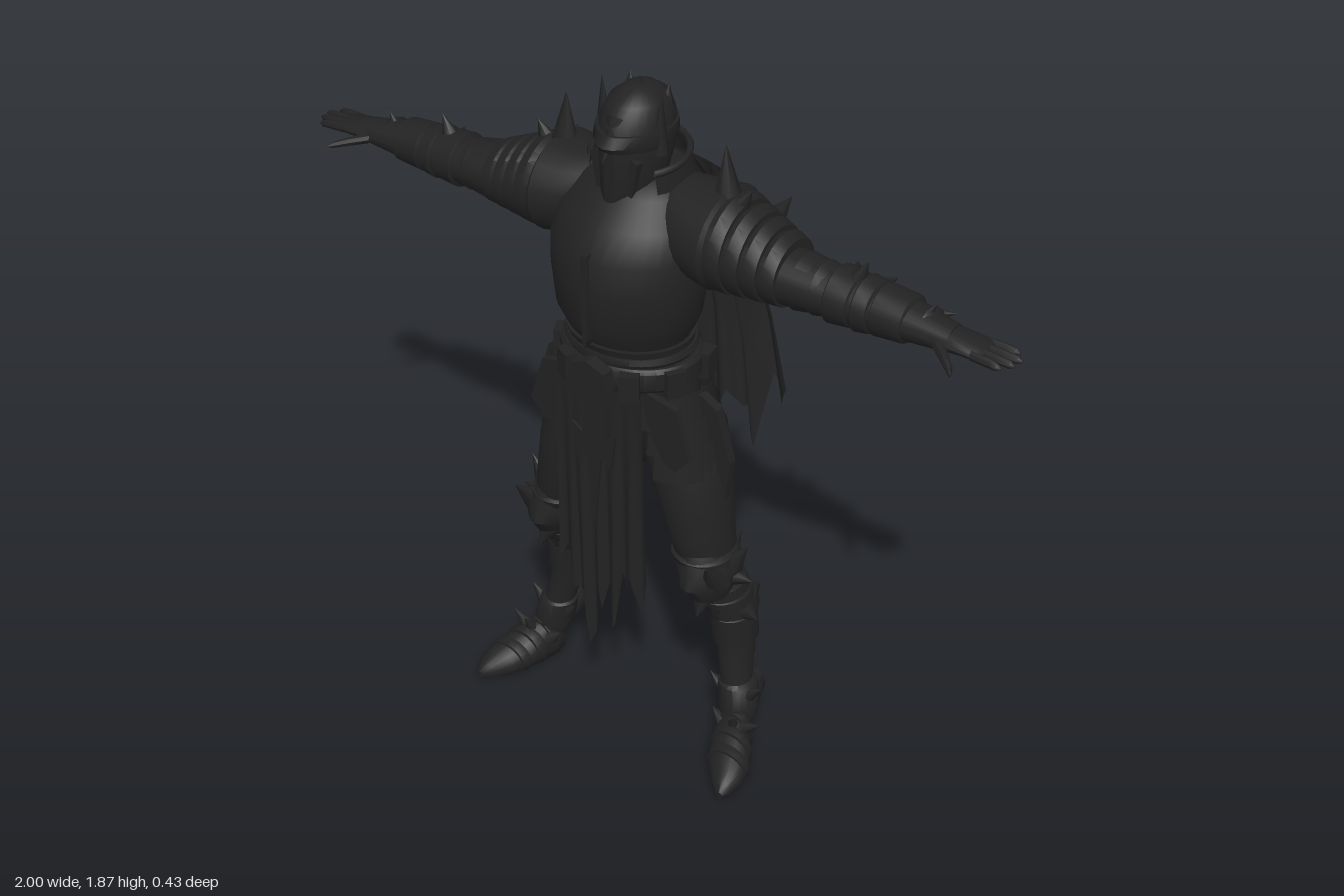
import * as THREE from 'three';
import { toCreasedNormals } from 'three/addons/utils/BufferGeometryUtils.js';

const steel = new THREE.MeshStandardMaterial({ color: 0x222222 });
steel.name = 'blackened steel';
steel.side = THREE.DoubleSide;

// Ellipse cross-sections along an axis. Rows ascend: [t, centreA, centreB, radiusA, radiusB, frontRidge]
// y axis: A = x, B = z.  x axis: A = y, B = z.  z axis: A = x, B = y.
function loft(axis, rows, n = 20) {
  const pos = [], idx = [];
  const put = (t, a, b) => {
    if (axis === 'y') pos.push(a, t, b);
    else if (axis === 'x') pos.push(t, a, b);
    else pos.push(a, Math.max(0, b), t);
  };
  for (const [t, a, b, ra, rb, ridge = 0] of rows) {
    for (let j = 0; j < n; j++) {
      const q = (j / n) * Math.PI * 2, c = Math.cos(q), s = Math.sin(q);
      if (axis === 'y') put(t, a + ra * c, b + rb * s + ridge * Math.max(0, s) ** 8);
      else put(t, a + ra * s, b + rb * c);
    }
  }
  const m = rows.length;
  for (let i = 0; i < m - 1; i++) for (let j = 0; j < n; j++) {
    const p = i * n + j, q = i * n + (j + 1) % n;
    idx.push(p, p + n, q, q, p + n, q + n);
  }
  put(...rows[0]);
  put(...rows[m - 1]);
  for (let j = 0; j < n; j++) {
    const k = (j + 1) % n, e = (m - 1) * n;
    idx.push(m * n, j, k, m * n + 1, e + k, e + j);
  }
  const g = new THREE.BufferGeometry();
  g.setAttribute('position', new THREE.Float32BufferAttribute(pos, 3));
  g.setIndex(idx);
  return toCreasedNormals(g, 0.7);
}

// Pointed spur from a base point to a tip
function spike(base, tip, r) {
  const a = new THREE.Vector3(...base), d = new THREE.Vector3(...tip).sub(a), len = d.length();
  const g = new THREE.ConeGeometry(r, len, 8).translate(0, len / 2, 0);
  g.applyQuaternion(new THREE.Quaternion().setFromUnitVectors(new THREE.Vector3(0, 1, 0), d.normalize()));
  return g.translate(...base);
}

// Hanging cloth with a torn hem; hem heights run evenly from left to right
function cloth(x0, top, width, hem, depth, cols = 60) {
  const g = new THREE.PlaneGeometry(2, 1, cols, 14), p = g.attributes.position;
  for (let i = 0; i < p.count; i++) {
    const u = p.getX(i), v = 0.5 - p.getY(i);
    const f = (u + 1) / 2 * (hem.length - 1), k = Math.min(hem.length - 2, Math.floor(f));
    const low = hem[k] + (hem[k + 1] - hem[k]) * (f - k);
    p.setXYZ(i, x0 + u * width(v), top + (low - top) * v, depth(u, v));
  }
  g.computeVertexNormals();
  return g;
}

// Flat plate cut from an outline
function plate(points, z, depth = 0.02) {
  const s = new THREE.Shape(points.map(([x, y]) => new THREE.Vector2(x, y)));
  return new THREE.ExtrudeGeometry(s, { depth, bevelEnabled: false }).translate(0, 0, z);
}

function mirror(g) {
  const m = g.index ? g.toNonIndexed() : g.clone();
  m.scale(-1, 1, 1);
  const idx = [];
  for (let i = 0; i < m.attributes.position.count; i += 3) idx.push(i + 2, i + 1, i);
  m.setIndex(idx);
  return m;
}

export function createModel() {
  const model = new THREE.Group();
  model.name = 'armouredKnight';
  const add = (name, g) => {
    const mesh = new THREE.Mesh(g, steel);
    mesh.name = name;
    model.add(mesh);
  };
  const pair = (name, g) => { add('left ' + name, g); add('right ' + name, mirror(g)); };

  // Helmet
  add('helmet', loft('y', [[1.56, 0, 0.035, 0.05, 0.06, 0.02], [1.6, 0, 0.03, 0.068, 0.08, 0.015], [1.68, 0, 0.015, 0.083, 0.095, 0.01],
    [1.73, 0, 0.01, 0.088, 0.1, 0.015], [1.78, 0, 0.005, 0.083, 0.098, 0.01], [1.82, 0, 0, 0.066, 0.08], [1.845, 0, 0, 0.035, 0.045], [1.85, 0, 0, 0.01, 0.02]], 28));
  add('browBand', loft('y', [[1.725, 0, 0.01, 0.09, 0.102, 0.02], [1.74, 0, 0.01, 0.094, 0.108, 0.024], [1.765, 0, 0.008, 0.091, 0.105, 0.012]], 28));
  add('browBeak', spike([0, 1.79, 0.08], [0, 1.705, 0.145], 0.028));
  add('crest', spike([0, 1.8, -0.02], [0, 1.868, 0.005], 0.03));
  add('faceRidge', plate([[-0.008, 1.59], [0.008, 1.59], [0.012, 1.74], [-0.012, 1.74]], 0.105, 0.018));
  pair('cheekPlate', plate([[0.014, 1.585], [0.05, 1.61], [0.065, 1.7], [0.05, 1.71], [0.016, 1.69]], 0.075, 0.025));
  pair('helmetHorn', spike([0.078, 1.71, 0.03], [0.083, 1.86, 0.03], 0.022));
  pair('helmetPoint', spike([0.05, 1.78, -0.03], [0.055, 1.85, -0.04], 0.025));

  // Neck and standing collar
  add('neck', loft('y', [[1.5, 0, -0.01, 0.1, 0.1], [1.62, 0, -0.01, 0.07, 0.08]]));
  const collar = new THREE.CylinderGeometry(0.118, 0.14, 0.15, 30, 3, true, Math.PI * 0.28, Math.PI * 1.44);
  add('collar', collar.scale(1, 1, 0.95).rotateX(0.15).translate(0, 1.61, -0.015));
  add('collarRim', new THREE.TorusGeometry(0.117, 0.009, 6, 28, Math.PI * 1.44).rotateZ(-Math.PI * 0.22)
    .rotateX(-Math.PI / 2).scale(1, 1, 0.95).rotateX(0.15).translate(0, 1.683, -0.004));

  // Torso
  add('abdomen', loft('y', [[1.08, 0, 0.02, 0.165, 0.125], [1.18, 0, 0.03, 0.155, 0.13], [1.235, 0, 0.035, 0.165, 0.145], [1.235, 0, 0.035, 0.155, 0.135],
    [1.29, 0, 0.04, 0.175, 0.155]], 32));
  add('breastplate', loft('y', [[1.255, 0, 0.035, 0.165, 0.145, 0.01], [1.3, 0, 0.04, 0.185, 0.16, 0.01], [1.4, 0, 0.04, 0.198, 0.165, 0.012],
    [1.48, 0, 0.035, 0.2, 0.165, 0.01], [1.55, 0, 0.015, 0.185, 0.15, 0.005], [1.61, 0, -0.01, 0.145, 0.12], [1.645, 0, -0.02, 0.1, 0.09]], 36));
  add('chestRidge', plate([[-0.007, 1.5], [-0.012, 1.42], [-0.006, 1.27], [0, 1.25], [0.006, 1.27], [0.012, 1.42], [0.007, 1.5]], 0.195, 0.025));
  pair('chestRelief', plate([[0.01, 1.41], [0.04, 1.44], [0.075, 1.4], [0.045, 1.405], [0.05, 1.35], [0.03, 1.38], [0.01, 1.37]], 0.18, 0.022));
  add('neckGuard', loft('y', [[1.53, 0, 0.03, 0.12, 0.145], [1.57, 0, 0.02, 0.12, 0.13], [1.62, 0, 0, 0.1, 0.1]], 28));

  // Belt
  add('belt', loft('y', [[1.125, 0, 0.03, 0.178, 0.145], [1.135, 0, 0.03, 0.187, 0.153], [1.18, 0, 0.03, 0.187, 0.153], [1.19, 0, 0.03, 0.178, 0.145]], 36));
  add('upperBelt', loft('y', [[1.19, 0, 0.03, 0.166, 0.146], [1.2, 0, 0.03, 0.172, 0.15], [1.215, 0, 0.03, 0.166, 0.146]], 36));
  add('buckle', plate([[-0.05, 1.19], [-0.06, 1.14], [0, 1.09], [0.06, 1.14], [0.05, 1.19], [0, 1.21]], 0.18, 0.035));
  for (const [x, z] of [[0.09, 0.165], [0.165, 0.09], [0.175, -0.03]])
    pair('beltPouch', new THREE.BoxGeometry(0.05, 0.07, 0.04).rotateY(Math.atan2(x, z)).translate(x, 1.15, z));

  // Pelvis and layered hip plates
  add('pelvis', loft('y', [[0.83, 0, 0, 0.05, 0.05], [0.9, 0, 0.005, 0.15, 0.095], [1, 0, 0.01, 0.185, 0.11], [1.13, 0, 0.02, 0.17, 0.12]], 28));
  for (let i = 0; i < 3; i++) {
    const y = 1.06 - i * 0.065;
    const lame = new THREE.CylinderGeometry(0.116 + i * 0.003, 0.13 + i * 0.003, 0.1, 18, 1, true, Math.PI * 0.02, Math.PI * 0.96);
    pair('hipLame', lame.scale(0.95, 1, 0.95).translate(0.093 + i * 0.02, y, 0.012));
  }
  pair('hipTasset', plate([[0.2, 1.1], [0.255, 1.07], [0.295, 0.93], [0.285, 0.82], [0.265, 0.89], [0.245, 0.86], [0.22, 0.92]], 0.01, 0.025));
  pair('frontTasset', plate([[0.1, 1.12], [0.2, 1.1], [0.24, 0.97], [0.2, 0.92], [0.13, 0.95]], 0.115, 0.015));

  // Torn front cloth: two side strips and a longer centre panel
  const fold = (z, k) => (u, v) => z - 0.012 * v + 0.01 * v * Math.cos(u * k);
  add('tabardCentre', cloth(0, 1.13, v => 0.075 - 0.01 * v, [0.42, 0.5, 0.29, 0.33, 0.55, 0.43, 0.52, 0.37, 0.4, 0.58], fold(0.18, 9), 54));
  add('rightTabardStrip', cloth(-0.09, 1.12, v => 0.035 + 0.015 * v, [0.52, 0.58, 0.45, 0.46, 0.6], fold(0.167, 5), 24));
  add('leftTabardStrip', cloth(0.09, 1.12, v => 0.035 + 0.01 * v, [0.6, 0.5, 0.56, 0.45, 0.57], fold(0.167, 5), 24));
  add('tabardPendant', plate([[-0.02, 1.1], [-0.035, 0.98], [-0.065, 1.0], [-0.05, 0.9], [-0.02, 0.92], [0, 0.71],
    [0.02, 0.92], [0.05, 0.9], [0.065, 1.0], [0.035, 0.98], [0.02, 1.1]], 0.182, 0.008));

  // Back cape with long folds
  add('cape', cloth(0, 1.64, v => 0.18 + 0.145 * v ** 0.8,
    [1.05, 0.98, 1.06, 0.84, 0.96, 0.9, 0.98, 0.89, 0.94, 0.88, 0.96, 0.9, 0.97, 0.88, 0.95, 0.9, 0.98, 0.92, 0.95, 0.84, 1.06, 0.98, 1.05],
    (u, v) => -0.125 - 0.06 * Math.min(1, v * 1.6) + 0.035 * u * u * (1 - v) - 0.022 * Math.min(1, v * 2) * Math.cos(u * 22), 110));
  add('capeCollar', cloth(0, 1.665, v => 0.11 + 0.085 * v, [1.55, 1.53, 1.52, 1.53, 1.55], (u, v) => -0.125 - 0.035 * v + 0.06 * u * u));

  // Pauldrons: overlapping lames with a tall spur
  pair('pauldronBase', loft('x', [[0.1, 1.54, -0.02, 0.1, 0.1], [0.17, 1.525, -0.02, 0.115, 0.13], [0.24, 1.52, -0.02, 0.125, 0.14], [0.27, 1.51, -0.015, 0.1, 0.11]], 26));
  for (let i = 0; i < 4; i++) {
    const x = 0.23 + i * 0.042, y = 1.52 - i * 0.008, r = 0.108 - i * 0.011;
    pair('pauldronLame', loft('x', [[x, y, -0.015, r, r + 0.012], [x + 0.035, y, -0.015, r + 0.012, r + 0.022], [x + 0.063, y - 0.006, -0.015, r + 0.006, r + 0.014],
      [x + 0.064, y - 0.006, -0.015, r - 0.02, r - 0.02]], 26));
  }
  pair('pauldronSpur', spike([0.235, 1.6, -0.02], [0.225, 1.755, -0.02], 0.04));
  pair('pauldronPeak', spike([0.25, 1.58, -0.01], [0.305, 1.665, -0.01], 0.045));
  pair('pauldronBackPoint', spike([0.3, 1.54, -0.1], [0.31, 1.58, -0.175], 0.035));

  // Arms
  pair('upperArm', loft('x', [[0.25, 1.49, -0.01, 0.07, 0.07], [0.4, 1.485, -0.01, 0.068, 0.078], [0.5, 1.48, -0.015, 0.06, 0.07],
    [0.6, 1.48, -0.015, 0.058, 0.065], [0.7, 1.48, -0.015, 0.05, 0.06], [0.84, 1.48, 0, 0.03, 0.04]], 20));
  for (const [x, w, r] of [[0.44, 0.05, 0.07], [0.49, 0.04, 0.066], [0.53, 0.07, 0.07], [0.6, 0.05, 0.068], [0.645, 0.09, 0.062], [0.76, 0.03, 0.046]])
    pair('armBand', loft('x', [[x, 1.48, -0.015, r - 0.012, r - 0.008], [x + 0.008, 1.48, -0.015, r, r + 0.004], [x + w - 0.008, 1.48, -0.015, r - 0.006, r], [x + w, 1.48, -0.015, r - 0.018, r - 0.012]]));
  pair('elbowTopSpur', spike([0.58, 1.52, -0.015], [0.61, 1.585, -0.015], 0.028));
  pair('elbowLowerSpur', spike([0.58, 1.44, -0.015], [0.615, 1.4, -0.015], 0.028));
  pair('elbowBackSpur', spike([0.55, 1.48, -0.06], [0.51, 1.49, -0.145], 0.04));
  pair('elbowWing', spike([0.6, 1.49, -0.06], [0.63, 1.5, -0.12], 0.03));
  pair('wristSpur', spike([0.76, 1.5, -0.01], [0.785, 1.54, -0.015], 0.018));
  pair('cuffSpur', spike([0.74, 1.48, -0.05], [0.8, 1.485, -0.085], 0.022));

  // Hands
  pair('palm', loft('x', [[0.79, 1.48, 0, 0.03, 0.038], [0.85, 1.48, 0, 0.024, 0.045], [0.91, 1.478, 0, 0.017, 0.045], [0.925, 1.477, 0, 0.01, 0.042]], 16));
  [[0.035, 0.975], [0.013, 0.995], [-0.01, 1], [-0.033, 0.98]].forEach(([z, tip]) =>
    pair('finger', loft('x', [[0.9, 1.478, z, 0.012, 0.011], [0.95, 1.477, z * 1.1, 0.011, 0.011], [tip - 0.01, 1.475, z * 1.15, 0.009, 0.009], [tip, 1.474, z * 1.15, 0.003, 0.003]], 8)));
  pair('thumb', loft('x', [[0.81, 1.475, 0.025, 0.014, 0.02], [0.85, 1.468, 0.06, 0.013, 0.017], [0.88, 1.462, 0.09, 0.01, 0.013], [0.89, 1.46, 0.105, 0.004, 0.005]], 8));

  // Legs
  pair('leg', loft('y', [[0.06, 0.31, -0.005, 0.035, 0.04], [0.18, 0.295, -0.03, 0.04, 0.042], [0.28, 0.275, -0.055, 0.046, 0.06], [0.4, 0.26, -0.065, 0.058, 0.072],
    [0.5, 0.245, -0.025, 0.06, 0.075], [0.58, 0.232, 0.015, 0.066, 0.08], [0.7, 0.205, 0.02, 0.083, 0.095], [0.82, 0.178, 0.015, 0.097, 0.108],
    [0.92, 0.15, 0.01, 0.108, 0.112], [1.02, 0.12, 0.01, 0.09, 0.1]], 24));
  for (const [y, x, z, rx, rz, h] of [[0.31, 0.27, -0.058, 0.058, 0.07, 0.11], [0.4, 0.258, -0.06, 0.064, 0.08, 0.06], [0.44, 0.252, -0.04, 0.067, 0.08, 0.05],
    [0.49, 0.246, -0.015, 0.072, 0.085, 0.05], [0.6, 0.23, 0.018, 0.08, 0.09, 0.05]])
    pair('greaveBand', loft('y', [[y, x, z, rx - 0.012, rz - 0.012], [y + 0.01, x, z, rx, rz], [y + h - 0.01, x - 0.008, z + 0.008, rx + 0.003, rz], [y + h, x - 0.008, z + 0.008, rx - 0.012, rz - 0.012]], 22));
  pair('kneeCap', loft('y', [[0.52, 0.25, 0.03, 0.05, 0.06, 0.01], [0.57, 0.24, 0.045, 0.075, 0.07, 0.02], [0.61, 0.235, 0.045, 0.078, 0.066, 0.015], [0.66, 0.225, 0.045, 0.055, 0.06]], 20));
  for (const [base, tip, r] of [
    [[0.28, 0.58, 0.06], [0.3, 0.67, 0.135], 0.04], [[0.29, 0.6, 0.01], [0.34, 0.68, 0.01], 0.035], [[0.29, 0.57, 0.01], [0.365, 0.585, 0.02], 0.03],
    [[0.19, 0.57, 0.03], [0.145, 0.6, 0.04], 0.03], [[0.3, 0.43, -0.04], [0.345, 0.41, -0.04], 0.035], [[0.205, 0.43, -0.04], [0.175, 0.45, -0.03], 0.03],
    [[0.26, 0.4, -0.11], [0.265, 0.41, -0.18], 0.04], [[0.245, 0.52, 0.06], [0.25, 0.47, 0.1], 0.035], [[0.25, 0.6, -0.05], [0.25, 0.62, -0.1], 0.03]])
    pair('legSpur', spike(base, tip, r));

  // Pointed shoes turned outwards, with ankle and heel guards
  pair('shoe', loft('z', [[-0.03, 0.305, 0.045, 0.03, 0.05], [0, 0.315, 0.055, 0.045, 0.07], [0.04, 0.335, 0.05, 0.055, 0.065], [0.09, 0.357, 0.038, 0.062, 0.05],
    [0.14, 0.377, 0.025, 0.052, 0.04], [0.18, 0.392, 0.015, 0.028, 0.026], [0.2, 0.4, 0.01, 0.008, 0.01]], 20));
  for (const [z, x, y, rx, ry] of [[0.01, 0.322, 0.06, 0.056, 0.072], [0.055, 0.342, 0.048, 0.064, 0.063], [0.1, 0.362, 0.035, 0.065, 0.052]])
    pair('shoeLame', loft('z', [[z - 0.02, x - 0.008, y, rx - 0.012, ry - 0.005], [z, x, y, rx, ry], [z + 0.02, x + 0.006, y, rx - 0.004, ry - 0.006], [z + 0.021, x + 0.006, y, rx - 0.02, ry - 0.02]], 20));
  pair('ankleGuard', loft('y', [[0.1, 0.31, -0.02, 0.05, 0.05], [0.13, 0.306, -0.028, 0.056, 0.058], [0.19, 0.296, -0.034, 0.052, 0.053], [0.2, 0.295, -0.034, 0.04, 0.042]], 20));
  pair('heelGuard', loft('z', [[-0.13, 0.295, 0.135, 0.02, 0.022], [-0.11, 0.297, 0.14, 0.038, 0.042], [-0.05, 0.303, 0.135, 0.05, 0.05], [0, 0.31, 0.12, 0.045, 0.05]], 16));
  for (const [base, tip] of [[[0.33, 0.16, -0.02], [0.38, 0.205, -0.02]], [[0.27, 0.15, -0.02], [0.225, 0.2, -0.01]], [[0.35, 0.09, 0.03], [0.41, 0.13, 0.03]],
    [[0.29, 0.08, 0.02], [0.255, 0.11, 0.02]], [[0.29, 0.17, -0.09], [0.29, 0.21, -0.13]], [[0.33, 0.08, 0.03], [0.345, 0.15, 0.065]]])
    pair('ankleSpur', spike(base, tip, 0.025));
  return model;
}
